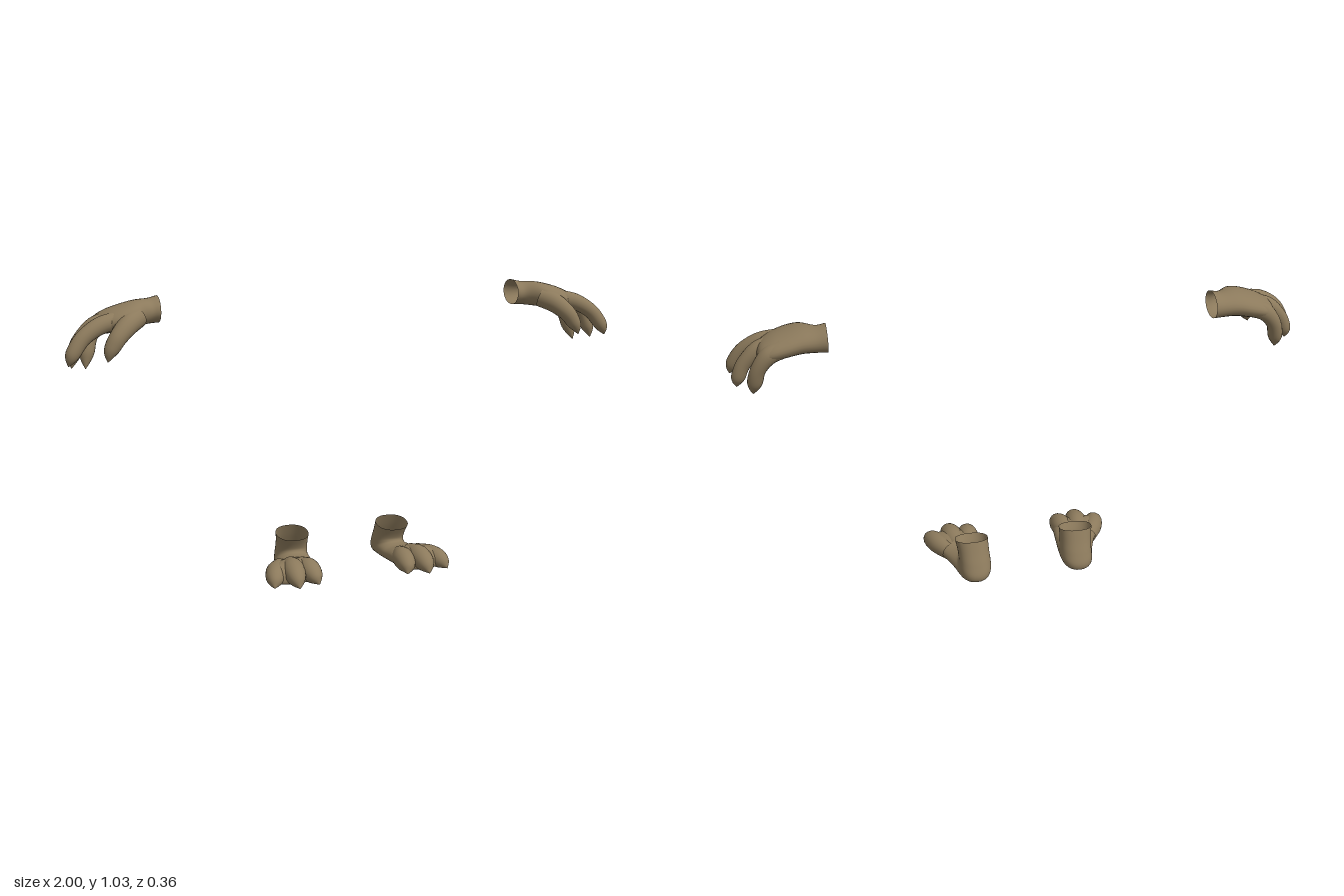
import * as THREE from 'three';

const skin = new THREE.MeshStandardMaterial({ color: 0x8c7a5c, roughness: 0.8, side: THREE.DoubleSide });
const V = (x, y, z) => new THREE.Vector3(x, y, z);

// Smooth surface through rings { c: centre, u, v: half axes with u x v pointing along the part }.
// power below 1 squares the section a little; side -1 mirrors the part to the other side.
function loft(name, rings, side, steps = 30, power = 1, radial = 28) {
  const [cs, us, vs] = ['c', 'u', 'v'].map(k =>
    new THREE.CatmullRomCurve3(rings.map(r => r[k]), false, 'catmullrom', 0.5));
  const shape = w => Math.sign(w) * Math.abs(w) ** power;
  const position = [], index = [];
  for (let i = 0; i <= steps; i++) {
    const c = cs.getPoint(i / steps), u = us.getPoint(i / steps), v = vs.getPoint(i / steps);
    for (let j = 0; j < radial; j++) {
      const a = (j / radial) * Math.PI * 2;
      const p = c.clone().addScaledVector(u, shape(Math.cos(a))).addScaledVector(v, shape(Math.sin(a)));
      position.push(p.x * side, p.y, p.z);
      if (i === steps) continue;
      const p0 = i * radial + j, p1 = i * radial + (j + 1) % radial;
      const q0 = p0 + radial, q1 = p1 + radial;
      if (side > 0) index.push(p0, p1, q0, p1, q1, q0);
      else index.push(p0, q0, p1, p1, q0, q1);
    }
  }
  const geometry = new THREE.BufferGeometry();
  geometry.setAttribute('position', new THREE.Float32BufferAttribute(position, 3));
  geometry.setIndex(index);
  geometry.computeVertexNormals();
  const mesh = new THREE.Mesh(geometry, skin);
  mesh.name = name;
  return mesh;
}

// Finger or toe: points are [x, y, z, radius], ref fixes the roll of the sections
function digit(name, points, ref, side) {
  const path = new THREE.CatmullRomCurve3(points.map(p => V(p[0], p[1], p[2])), false, 'catmullrom', 0.5);
  const rings = points.map((p, i) => {
    const t = path.getTangent(i / (points.length - 1));
    const u = ref.clone().cross(t).normalize();
    const v = t.clone().cross(u);
    return { c: V(p[0], p[1], p[2]), u: u.multiplyScalar(p[3]), v: v.multiplyScalar(p[3]) };
  });
  return loft(name, rings, side, 24, 1, 20);
}

// Palm sections from the open wrist outwards: [x, y, z, half height, half width]
const PALM = [
  [0.665, 0.984, -0.078, 0.046, 0.062],
  [0.70, 0.98, -0.072, 0.043, 0.060],
  [0.75, 0.977, -0.048, 0.045, 0.082],
  [0.80, 0.967, -0.042, 0.044, 0.090],
  [0.85, 0.955, -0.046, 0.039, 0.083],
  [0.885, 0.944, -0.05, 0.028, 0.062],
  [0.90, 0.938, -0.05, 0.001, 0.002],
];

const FINGERS = {
  indexFinger: [[0.81, 0.966, 0, 0.03], [0.88, 0.95, 0.018, 0.03], [0.938, 0.915, 0.035, 0.027],
    [0.973, 0.87, 0.046, 0.025], [0.985, 0.846, 0.05, 0.017], [0.992, 0.826, 0.051, 0.001]],
  middleFinger: [[0.82, 0.966, -0.035, 0.03], [0.89, 0.945, -0.036, 0.029], [0.94, 0.898, -0.034, 0.025],
    [0.962, 0.852, -0.031, 0.024], [0.969, 0.829, -0.026, 0.016], [0.972, 0.807, -0.02, 0.001]],
  outerFinger: [[0.81, 0.965, -0.09, 0.034], [0.86, 0.945, -0.097, 0.031], [0.895, 0.90, -0.094, 0.026],
    [0.91, 0.85, -0.081, 0.026], [0.916, 0.822, -0.071, 0.017], [0.92, 0.795, -0.06, 0.001]],
  thumb: [[0.75, 0.97, 0, 0.036], [0.79, 0.95, 0.038, 0.035], [0.828, 0.915, 0.064, 0.03],
    [0.85, 0.882, 0.071, 0.026], [0.861, 0.86, 0.076, 0.017], [0.867, 0.838, 0.08, 0.001]],
};

// Foot sections turning round the instep, from the open ankle over the heel to the toes:
// [instep z, instep y, heel/sole z, heel/sole y, x, half width]
const FOOT = [
  [-0.02, 0.125, -0.128, 0.152, 0.195, 0.060],
  [-0.034, 0.102, -0.148, 0.108, 0.192, 0.057],
  [-0.041, 0.086, -0.168, 0.068, 0.19, 0.057],
  [-0.04, 0.078, -0.182, 0.03, 0.19, 0.058],
  [-0.035, 0.073, -0.165, 0.006, 0.193, 0.060],
  [-0.022, 0.07, -0.09, 0.004, 0.201, 0.066],
  [0, 0.07, -0.02, 0.005, 0.213, 0.074],
  [0.045, 0.08, 0.04, 0.005, 0.229, 0.086],
  [0.085, 0.078, 0.09, 0.005, 0.24, 0.092],
  [0.118, 0.058, 0.12, 0.012, 0.242, 0.078],
  [0.128, 0.032, 0.128, 0.03, 0.242, 0.002],
];

const TOES = {
  innerToe: [[0.19, 0.045, 0.02, 0.03], [0.182, 0.047, 0.075, 0.039], [0.178, 0.04, 0.118, 0.035],
    [0.173, 0.029, 0.146, 0.022], [0.167, 0.014, 0.162, 0.001]],
  middleToe: [[0.23, 0.045, 0.02, 0.035], [0.24, 0.05, 0.08, 0.041], [0.244, 0.043, 0.128, 0.036],
    [0.245, 0.03, 0.16, 0.023], [0.245, 0.014, 0.181, 0.001]],
  outerToe: [[0.265, 0.04, 0, 0.03], [0.295, 0.042, 0.055, 0.036], [0.312, 0.038, 0.1, 0.034],
    [0.322, 0.028, 0.13, 0.022], [0.328, 0.014, 0.149, 0.001]],
};

function hand(side, name) {
  const group = new THREE.Group();
  group.name = name;
  const palm = PALM.map(([x, y, z, h, w]) => ({ c: V(x, y, z), u: V(0, h, 0), v: V(0, 0, w) }));
  group.add(loft('palm', palm, side, 36));
  for (const [key, points] of Object.entries(FINGERS)) group.add(digit(key, points, V(0, 0, 1), side));
  return group;
}

function foot(side, name) {
  const group = new THREE.Group();
  group.name = name;
  const body = FOOT.map(([az, ay, bz, by, x, w]) => ({
    c: V(x, (ay + by) / 2, (az + bz) / 2), u: V(w, 0, 0), v: V(0, (ay - by) / 2, (az - bz) / 2),
  }));
  group.add(loft('ankleAndSole', body, side, 50, 0.88, 36));
  for (const [key, points] of Object.entries(TOES)) group.add(digit(key, points, V(1, 0, 0), side));
  return group;
}

export function createModel() {
  const model = new THREE.Group();
  model.name = 'handsAndFeet';
  for (const [side, word] of [[1, 'left'], [-1, 'right']]) {
    model.add(hand(side, word + 'Hand'), foot(side, word + 'Foot'));
  }
  return model;
}
